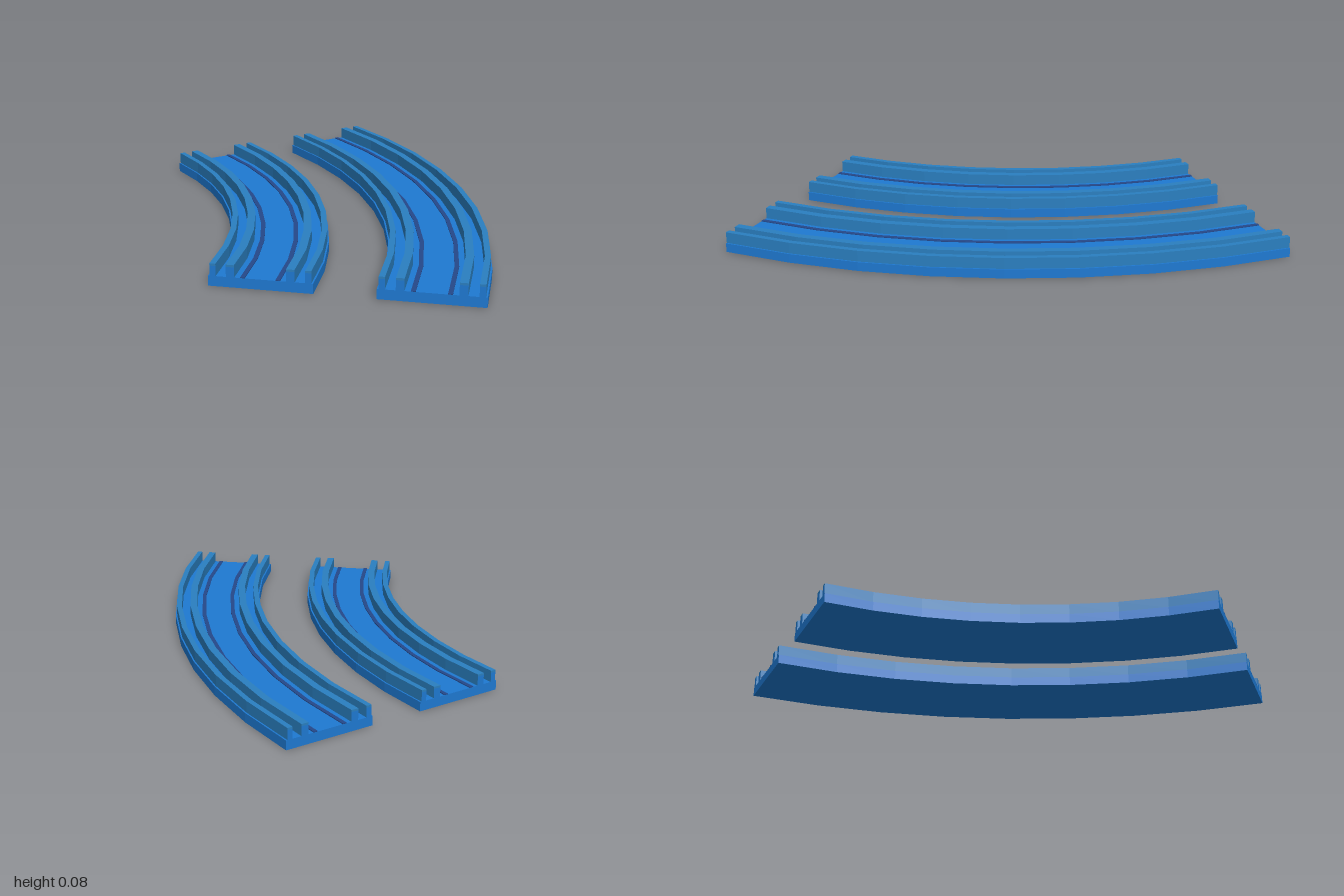
import * as THREE from 'three';

const ARC = Math.PI / 4, SEGMENTS = 8;
const BASE_Y = 0.036, CAP_Y = 0.072, TOP_Y = 0.08;

function paint(name, color) {
  const m = new THREE.MeshStandardMaterial({ color, flatShading: true, side: THREE.DoubleSide });
  m.name = name;
  return m;
}

// Rectangular bar swept along the bend, without its ends
function arcBar(r0, r1, y0, y1) {
  const p = [[r0, y0], [r1, y0], [r1, y1], [r0, y1], [r0, y0]].map(([r, y]) => new THREE.Vector2(r, y));
  return new THREE.LatheGeometry(p, SEGMENTS, Math.PI / 2, ARC).toNonIndexed();
}

export function createModel() {
  const blue = paint('track blue', 0x1e79d2);
  const railBlue = paint('rail blue', 0x2a7fc0);
  const darkBlue = paint('stripe dark blue', 0x24488a);

  function addPart(group, name, geometry, material) {
    const mesh = new THREE.Mesh(geometry, material);
    mesh.name = name;
    group.add(mesh);
    return mesh;
  }

  // Flat end faces at both ends of a bar
  function addEnds(group, name, r0, r1, y0, y1, material) {
    for (const angle of [0, ARC]) {
      const g = new THREE.PlaneGeometry(r1 - r0, y1 - y0);
      g.translate((r0 + r1) / 2, (y0 + y1) / 2, 0);
      if (angle) {
        // Reverse the far face so it looks outwards
        g.index.array.reverse();
        g.attributes.normal.array.forEach((v, i, a) => { a[i] = -v; });
      }
      g.rotateY(angle);
      addPart(group, name, g, material);
    }
  }

  function createTrack(name, radius) {
    const track = new THREE.Group();
    track.name = name;

    // Road bed
    const half = 0.182;
    addPart(track, 'roadBed', arcBar(radius - half, radius + half, 0, BASE_Y), blue);
    addEnds(track, 'roadBedEnd', radius - half, radius + half, 0, BASE_Y, blue);

    for (const side of [-1, 1]) {
      // Outer and inner guide rails with a groove between them
      for (const [railName, a, b] of [['outerRail', 0.155, 0.176], ['innerRail', 0.09, 0.119]]) {
        const [r0, r1] = [radius + side * a, radius + side * b].sort((p, q) => p - q);
        addPart(track, railName, arcBar(r0, r1, BASE_Y, TOP_Y), railBlue);
        addEnds(track, railName + 'End', r0, r1, BASE_Y, CAP_Y, blue);
        addEnds(track, railName + 'EndTop', r0, r1, CAP_Y, TOP_Y, railBlue);
      }
      // Painted lane stripe
      const mid = radius + side * 0.061;
      addPart(track, 'laneStripe', arcBar(mid - 0.008, mid + 0.008, BASE_Y, BASE_Y + 0.003), darkBlue);
      addEnds(track, 'laneStripeEnd', mid - 0.008, mid + 0.008, BASE_Y, BASE_Y + 0.003, darkBlue);
    }
    return track;
  }

  // Two concentric bends sharing one centre
  const model = new THREE.Group();
  model.name = 'curvedTracks';
  model.add(createTrack('innerTrack', 2.068), createTrack('outerTrack', 2.646));
  for (const track of model.children) track.position.set(-2.082, 0, 1);
  return model;
}
